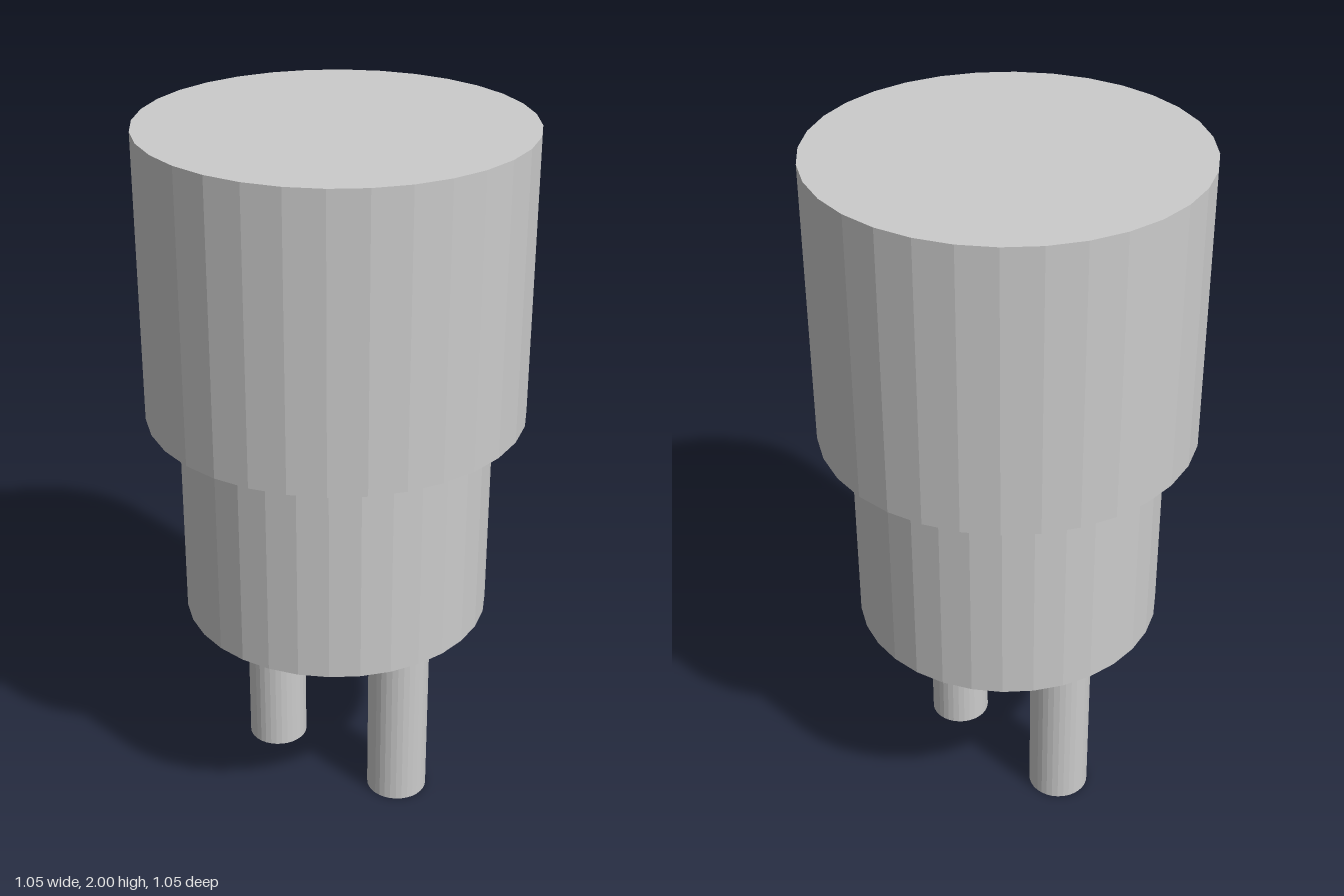
import * as THREE from 'three';

const material = new THREE.MeshStandardMaterial({ color: 0xcccccc, flatShading: true });

// Upright 32-sided cylinder spanning bottom..top
function post(name, radius, bottom, top, x = 0) {
  const mesh = new THREE.Mesh(new THREE.CylinderGeometry(radius, radius, top - bottom, 32), material);
  mesh.name = name;
  mesh.position.set(x, (bottom + top) / 2, 0);
  return mesh;
}

export function createModel() {
  const model = new THREE.Group();
  model.name = 'twoPinPlug';

  // Wide cap above a narrower body
  model.add(post('cap', 0.527, 1.197, 2));
  model.add(post('body', 0.436, 0.59, 1.197));

  // Pair of contact pins below the body
  for (const side of [-1, 1]) {
    model.add(post(side > 0 ? 'leftPin' : 'rightPin', 0.088, 0, 0.59, side * 0.226));
  }
  return model;
}
